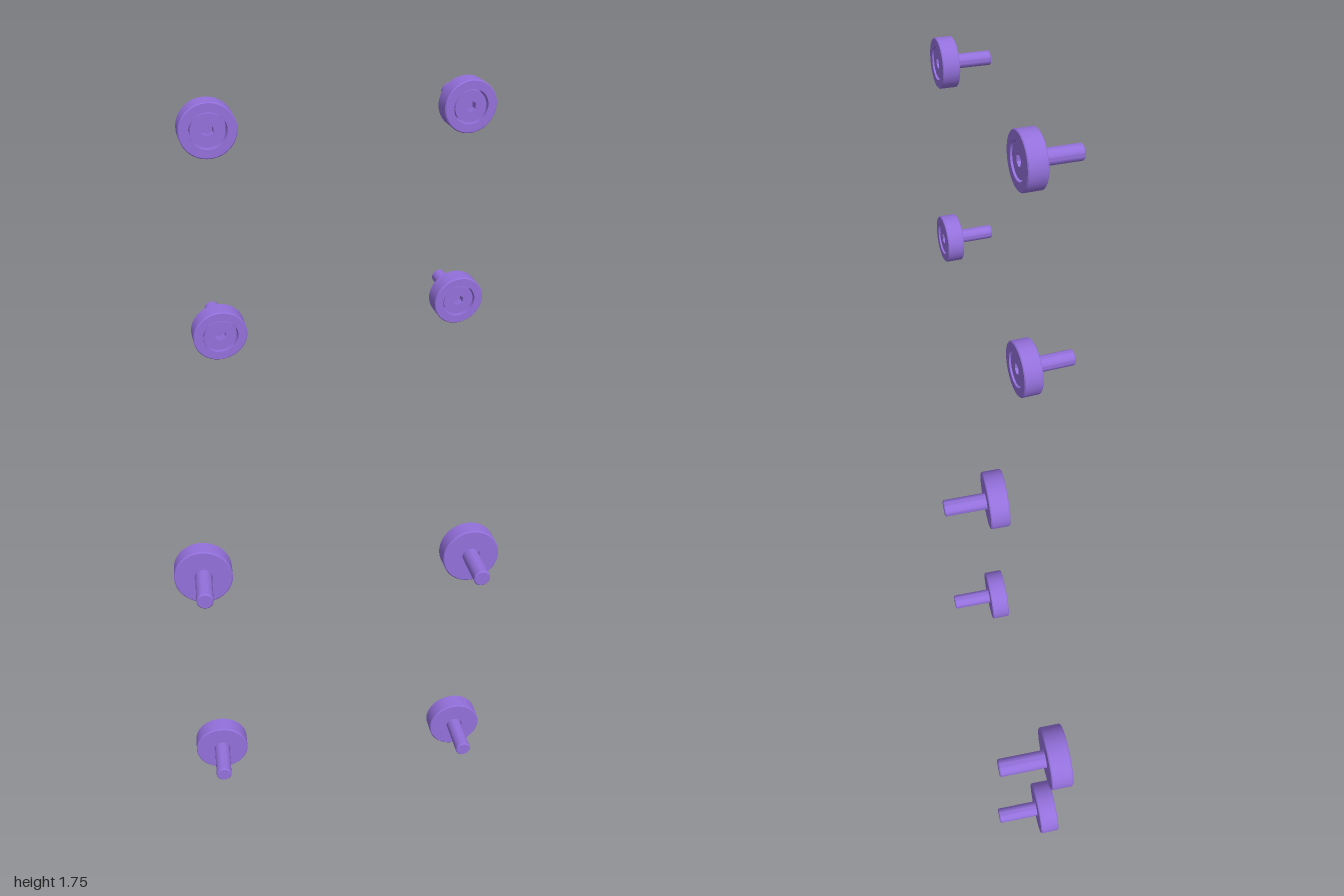
import * as THREE from 'three';
import { toCreasedNormals } from 'three/addons/utils/BufferGeometryUtils.js';

const material = new THREE.MeshStandardMaterial({ color: 0x9370db });

// Revolve an (r, z) profile about the z axis, keeping hard edges crisp.
function turned(profile) {
  const points = profile.map(([r, z]) => new THREE.Vector2(r, z));
  const geometry = new THREE.LatheGeometry(points, 64).rotateX(Math.PI / 2);
  return toCreasedNormals(geometry, 0.5);
}

// Wheel: bevelled disc with a counterbore in front and a through bore behind.
const wheelGeometry = turned([
  [0.055, 0.07], [0.169, 0.07], [0.175, 0.076], [0.175, 0.184], [0.169, 0.19],
  [0.115, 0.19], [0.115, 0.11], [0.055, 0.11], [0.055, 0.07],
]);

// Shaft with a chamfered tip; its front end is the socket floor.
const shaftGeometry = turned([
  [0, -0.19], [0.044, -0.19], [0.05, -0.184], [0.05, 0.13], [0, 0.13],
]);

// Round bolt head with a hexagonal socket.
function headGeometry() {
  const shape = new THREE.Shape().absarc(0, 0, 0.105, 0, Math.PI * 2);
  const corners = [];
  for (let i = 0; i < 6; i++) {
    const a = Math.PI / 2 - (i * Math.PI) / 3;
    corners.push(new THREE.Vector2(0.038 * Math.cos(a), 0.038 * Math.sin(a)));
  }
  shape.holes.push(new THREE.Path(corners));
  const geometry = new THREE.ExtrudeGeometry(shape, { depth: 0.07, bevelEnabled: false, curveSegments: 48 });
  return toCreasedNormals(geometry.translate(0, 0, 0.11), 0.5);
}

export function createModel() {
  const model = new THREE.Group();
  model.name = 'wheelSet';
  const parts = { wheel: wheelGeometry, shaft: shaftGeometry, boltHead: headGeometry() };

  // Four identical wheels at the corners of a rectangle.
  for (const [row, y] of [['lower', 0.175], ['upper', 1.57]]) {
    for (const [side, x] of [['Right', -0.825], ['Left', 0.825]]) {
      const unit = new THREE.Group();
      unit.name = `${row}${side}Wheel`;
      unit.position.set(x, y, 0);
      for (const [name, geometry] of Object.entries(parts)) {
        const mesh = new THREE.Mesh(geometry, material);
        mesh.name = name;
        unit.add(mesh);
      }
      model.add(unit);
    }
  }
  return model;
}
